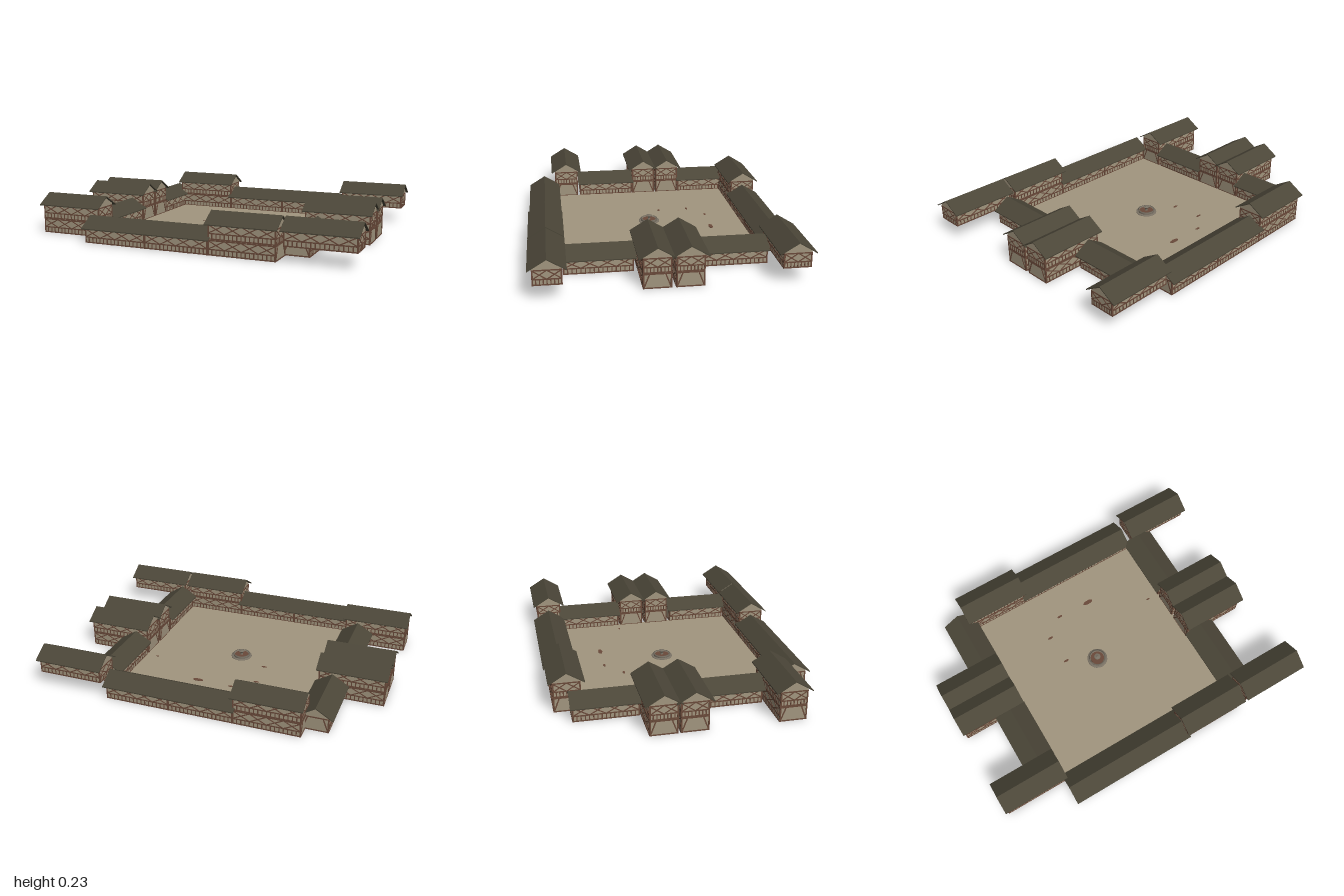
import * as THREE from 'three';
import { mergeGeometries } from 'three/addons/utils/BufferGeometryUtils.js';

const mat = (name, color) => Object.assign(new THREE.MeshStandardMaterial({ color }), { name });
const plaster = mat('plaster', 0xa2967f);
const timber = mat('timber', 0x6a4a3a);
const shingle = mat('shingle', 0x4b4638);
const stone = mat('stone', 0x7a7265);

const STOREY = 0.087;   // height of one storey
const HALF = 0.075;     // half the depth of a house
const EAVE = 0.1;       // half the depth of a roof
const RISE = 0.061;     // eave to ridge
const OVERHANG = 0.013; // roof past the gable

function mesh(name, geometry, material) {
  const m = new THREE.Mesh(geometry, material);
  m.name = name;
  return m;
}

// Prism with its profile in z and y, running along x and centred
function prism(points, length) {
  const shape = new THREE.Shape(points.map(([a, b]) => new THREE.Vector2(a, b)));
  return new THREE.ExtrudeGeometry(shape, { depth: length, bevelEnabled: false })
    .translate(0, 0, -length / 2)
    .rotateY(Math.PI / 2);
}

// Flat timber from (u1, v1) to (u2, v2) in the plane of a wall
function beam(list, u1, v1, u2, v2, width = 0.007) {
  const du = u2 - u1, dv = v2 - v1;
  list.push(new THREE.BoxGeometry(Math.hypot(du, dv), width, 0.004)
    .rotateZ(Math.atan2(dv, du))
    .translate((u1 + u2) / 2, (v1 + v2) / 2, 0));
}

// Sill, rail, posts and crossed braces for one storey of a wall
function framedWall(length, v0, panelWidth) {
  const list = [], h = length / 2, top = v0 + STOREY - 0.004, rail = v0 + 0.034;
  for (const v of [v0 + 0.004, rail, top]) beam(list, -h, v, h, v);
  for (const s of [-1, 1]) beam(list, s * (h - 0.003), v0, s * (h - 0.003), top);
  const panels = Math.max(2, Math.round(length / panelWidth));
  const step = length / panels;
  for (let i = 0; i < panels; i++) {
    const a = -h + i * step, b = a + step;
    beam(list, a, rail, b, top, 0.006);
    beam(list, a, top, b, rail, 0.006);
    for (const t of [0.25, 0.5, 0.75, 1]) {
      if (i === panels - 1 && t === 1) continue;
      beam(list, a + t * step, v0, a + t * step, rail, 0.006);
    }
  }
  return list;
}

// Ground storey of a gable end, with leaning corner braces
function bracedGable(v0) {
  const list = [], top = v0 + STOREY - 0.004, w = HALF - 0.003;
  for (const v of [v0 + 0.004, top]) beam(list, -HALF, v, HALF, v);
  for (const s of [-1, 1]) {
    beam(list, s * w, v0, s * w, top);
    beam(list, s * w, v0 + 0.004, s * 0.042, top);
  }
  return list;
}

// Timber-framed house with its ridge along x, between roof ends x0 and x1
function house(name, x0, x1, z, { first = 0, last = 0, alongZ = false }) {
  const g = new THREE.Group();
  g.name = name;
  const roofLength = x1 - x0, length = roofLength - 2 * OVERHANG;
  const base = first * STOREY, eave = (last + 1) * STOREY;

  g.add(mesh('walls', prism([
    [-HALF, base], [HALF, base], [HALF, eave + 0.009], [0, eave + 0.054], [-HALF, eave + 0.009],
  ], length), plaster));

  g.add(mesh('roof', prism([
    [-EAVE, eave - 0.006], [0, eave + RISE - 0.006], [EAVE, eave - 0.006],
    [EAVE, eave], [0, eave + RISE], [-EAVE, eave],
  ], roofLength), shingle));

  const timbers = [];
  for (let s = first; s <= last; s++) {
    const v0 = s * STOREY;
    for (const turn of [0, Math.PI]) {
      for (const b of framedWall(length, v0, 0.1)) {
        timbers.push(b.translate(0, 0, HALF).rotateY(turn));
      }
      const end = s === 0 ? bracedGable(v0) : framedWall(2 * HALF, v0, 0.075);
      for (const b of end) {
        timbers.push(b.translate(0, 0, length / 2).rotateY(turn + Math.PI / 2));
      }
    }
  }
  g.add(mesh('timberFrame', mergeGeometries(timbers), timber));

  const mid = (x0 + x1) / 2;
  if (alongZ) {
    g.rotation.y = Math.PI / 2;
    g.position.set(z, 0, mid);
  } else {
    g.position.set(mid, 0, z);
  }
  return g;
}

function fountain() {
  const g = new THREE.Group();
  g.name = 'fountain';
  const lathe = (pts) => new THREE.LatheGeometry(pts.map(([r, y]) => new THREE.Vector2(r, y)), 20);
  g.add(mesh('step', lathe([[0.064, 0], [0.064, 0.007], [0.052, 0.007], [0, 0.007]]), stone));
  g.add(mesh('basin', lathe([
    [0.05, 0.007], [0.053, 0.02], [0.045, 0.02], [0.043, 0.012], [0, 0.012],
  ]), stone));
  g.add(mesh('basinFloor', new THREE.CylinderGeometry(0.043, 0.043, 0.003, 20).translate(0, 0.013, 0), timber));
  g.add(mesh('column', lathe([
    [0.012, 0.012], [0.007, 0.018], [0.007, 0.03], [0.02, 0.036], [0.02, 0.039], [0.006, 0.037], [0, 0.046],
  ]), stone));
  g.position.set(-0.035, 0.003, 0);
  return g;
}

export function createModel() {
  const model = new THREE.Group();
  model.name = 'courtyard';

  // Courtyard floor
  model.add(mesh('courtyardFloor',
    new THREE.BoxGeometry(1.15, 0.004, 1.18).translate(-0.025, 0.002, 0), plaster));

  const low = { first: 0, last: 0 };
  const tall = { first: 0, last: 1 };
  const raised = { first: 1, last: 1 };
  const side = { ...low, alongZ: true };

  // Front row, then back row
  model.add(
    house('frontLowHouse1', -0.61, -0.2, 0.65, low),
    house('frontLowHouse2', -0.226, 0.184, 0.65, low),
    house('frontTallHouse', 0.16, 0.57, 0.65, tall),
    house('frontRaisedHouse', 0.585, 1.0, 0.65, raised),
    house('backTallHouse', -0.64, -0.23, -0.655, tall),
    house('backLowHouse1', -0.254, 0.156, -0.655, low),
    house('backLowHouse2', 0.13, 0.54, -0.655, low),
    house('backRaisedHouse', 0.555, 0.97, -0.65, raised),
  );

  // Houses standing across the two sides
  for (const z of [-0.2, -0.035, 0.5]) model.add(house('rightTallHouse', -1, -0.59, z, tall));
  for (const z of [-0.09, 0.085]) model.add(house('leftTallHouse', 0.525, 0.935, z, tall));

  // Low wings joining them
  model.add(
    house('rightLowWing', -0.655, -0.27, -0.682, side),
    house('rightLowWing', 0.035, 0.42, -0.682, side),
    house('leftLowWing', -0.58, -0.17, 0.613, side),
    house('leftLowWing', 0.17, 0.578, 0.617, side),
  );

  model.add(fountain());

  // Bare earth patches on the floor
  const patches = [[-0.1, -0.375, 0.018], [0.11, -0.37, 0.034], [-0.225, -0.275, 0.018],
    [-0.215, -0.088, 0.018], [0.465, -0.187, 0.012]];
  for (const [x, z, r] of patches) {
    const p = mesh('earthPatch', new THREE.CylinderGeometry(r, r, 0.002, 7), timber);
    p.scale.z = 0.4;
    p.position.set(x, 0.005, z);
    model.add(p);
  }
  return model;
}
